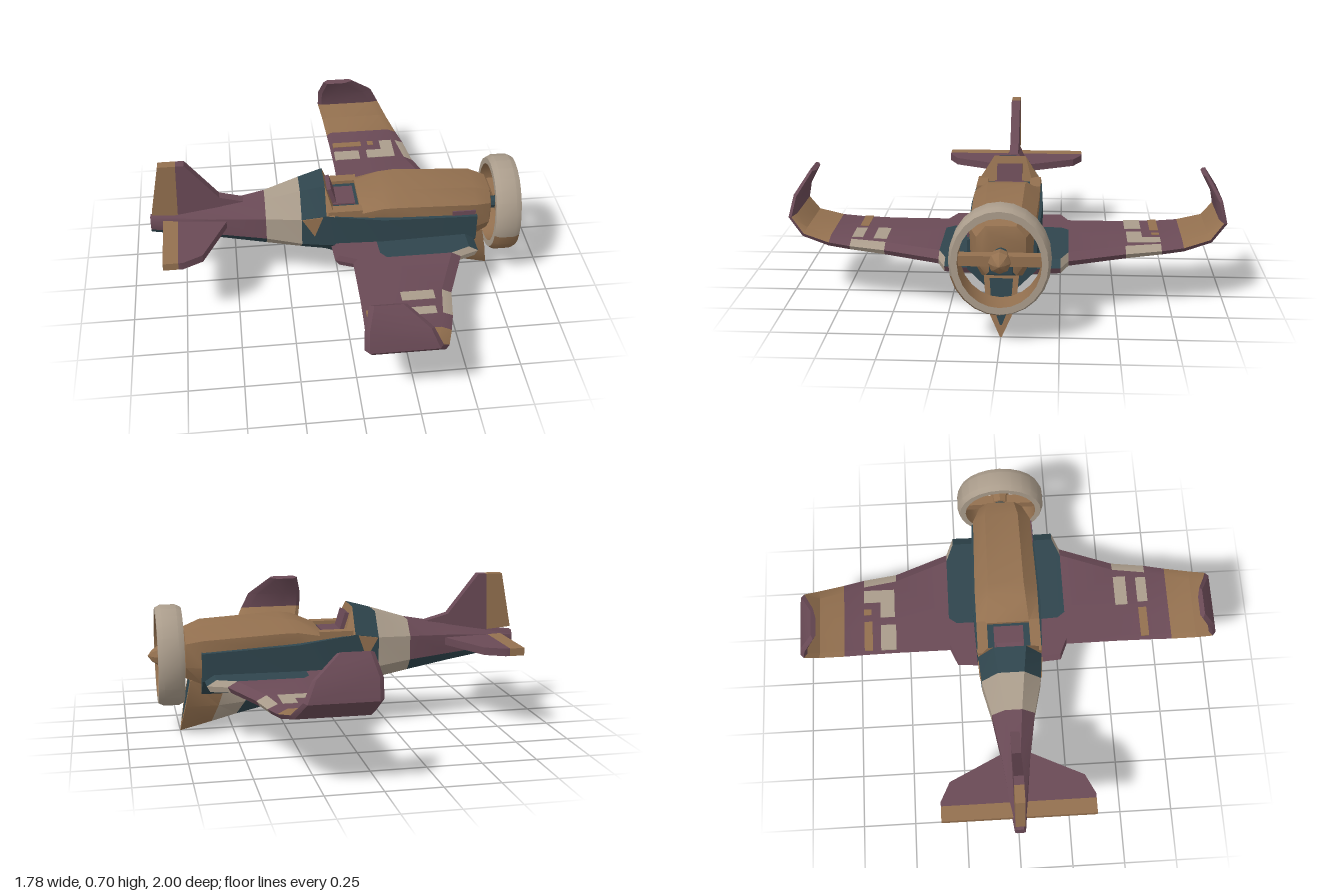
import * as THREE from 'three';
import { toCreasedNormals } from 'three/addons/utils/BufferGeometryUtils.js';

const paint = (name, color) => {
  const m = new THREE.MeshStandardMaterial({ color });
  m.name = name;
  return m;
};

export function createModel() {
  const model = new THREE.Group();
  model.name = 'aircraft';
  const mats = [paint('plum', 0x6a4a56), paint('tan', 0x93704f), paint('slate', 0x2f454d), paint('sand', 0xaa9c8b)];
  const PLUM = 0, TAN = 1, SLATE = 2, SAND = 3;

  const add = (name, geo, colour) => {
    if (colour !== undefined) geo.clearGroups();
    const mesh = new THREE.Mesh(toCreasedNormals(geo, 0.5), colour === undefined ? mats : mats[colour]);
    mesh.name = name;
    model.add(mesh);
    return mesh;
  };

  // Skin over closed cross-sections; colour(segment, face) picks the paint, segment -1 and n-1 are end caps
  const loft = (name, rings, colour) => {
    const faces = [[], [], [], []], n = rings[0].length, last = rings.length - 1;
    for (let i = 0; i < last; i++) for (let j = 0; j < n; j++) {
      const k = (j + 1) % n, a = rings[i][j], b = rings[i][k], c = rings[i + 1][k], d = rings[i + 1][j];
      faces[colour(i, j)].push([a, b, c], [a, c, d]);
    }
    for (let j = 1; j < n - 1; j++) {
      faces[colour(-1, j)].push([rings[0][0], rings[0][j + 1], rings[0][j]]);
      faces[colour(last, j)].push([rings[last][0], rings[last][j], rings[last][j + 1]]);
    }
    // Signed volume tells whether the corners need reversing
    let volume = 0;
    faces.flat().forEach(([a, b, c]) => {
      volume += new THREE.Vector3(...a).dot(new THREE.Vector3(...b).cross(new THREE.Vector3(...c)));
    });
    const pos = [], geo = new THREE.BufferGeometry();
    faces.forEach((list, m) => {
      if (list.length) geo.addGroup(pos.length / 3, list.length * 3, m);
      list.forEach(t => (volume < 0 ? [t[0], t[2], t[1]] : t).forEach(p => pos.push(...p)));
    });
    geo.setAttribute('position', new THREE.Float32BufferAttribute(pos, 3));
    return add(name, geo);
  };

  const box = (name, x0, x1, y0, y1, z0, z1, colour) => {
    const mesh = add(name, new THREE.BoxGeometry(x1 - x0, y1 - y0, z1 - z0), colour);
    mesh.position.set((x0 + x1) / 2, (y0 + y1) / 2, (z0 + z1) / 2);
    return mesh;
  };
  const plate = (name, points, depth, colour) => {
    const shape = new THREE.Shape(points.map(p => new THREE.Vector2(...p)));
    return add(name, new THREE.ExtrudeGeometry(shape, { depth, bevelEnabled: false }).translate(0, 0, -depth / 2), colour);
  };

  // Eight-sided body section: x, top, top half-width, shoulder y, half-width, waist y, bottom, bottom half-width
  const bodyRing = ([x, top, tw, sh, w, mid, bot, bw]) => [
    [x, top, tw], [x, sh, w], [x, mid, w], [x, bot, bw],
    [x, bot, -bw], [x, mid, -w], [x, sh, -w], [x, top, -tw]];

  // Fuselage with painted bands
  loft('fuselage', [
    [-0.89, 0.42, 0.015, 0.40, 0.025, 0.36, 0.34, 0.015],
    [-0.56, 0.465, 0.02, 0.42, 0.065, 0.33, 0.288, 0.03],
    [-0.35, 0.50, 0.04, 0.43, 0.10, 0.315, 0.255, 0.05],
    [-0.185, 0.55, 0.06, 0.44, 0.14, 0.30, 0.225, 0.06],
    [-0.07, 0.58, 0.075, 0.46, 0.15, 0.29, 0.21, 0.07],
    [-0.03, 0.46, 0.11, 0.455, 0.155, 0.29, 0.20, 0.08],
    [0.20, 0.445, 0.11, 0.425, 0.165, 0.29, 0.19, 0.08],
    [0.65, 0.42, 0.10, 0.40, 0.15, 0.27, 0.19, 0.07],
  ].map(bodyRing), (i, j) => {
    if (i < 2) return i >= 0 && j >= 2 && j <= 4 ? SLATE : PLUM;
    if (i === 2) return SAND;
    return i === 4 && (j === 7 || j === 0 || j === 6) ? TAN : SLATE;
  });

  // Engine hood and blunt nose, with a dark intake below
  loft('engineHood', [
    [0.09, 0.48, 0.10, 0.46, 0.15, 0.40, 0.32, 0.10],
    [0.20, 0.53, 0.09, 0.48, 0.15, 0.40, 0.30, 0.10],
    [0.27, 0.54, 0.085, 0.48, 0.15, 0.40, 0.28, 0.10],
    [0.64, 0.52, 0.08, 0.46, 0.14, 0.33, 0.24, 0.09],
    [0.72, 0.49, 0.065, 0.44, 0.105, 0.33, 0.27, 0.065],
    [0.73, 0.46, 0.05, 0.42, 0.08, 0.34, 0.29, 0.05],
  ].map(bodyRing), (i, j) => (i >= 3 && i < 5 && j === 3 ? SLATE : TAN));
  box('noseIntake', 0.726, 0.734, 0.28, 0.33, -0.05, 0.05, SLATE);
  box('hoodSeam', 0.53, 0.64, 0.412, 0.435, 0.142, 0.149, PLUM);

  // Cockpit rim, floor and seat
  for (const s of [-1, 1]) {
    box('cockpitRim', -0.06, 0.10, 0.44, 0.48, s * 0.125 - 0.025, s * 0.125 + 0.025, TAN);
    const wedge = plate('sidePatch', [[-0.182, 0.44], [-0.125, 0.345], [-0.085, 0.455], [-0.12, 0.45]], 0.008, TAN);
    wedge.geometry.translate(0.13, 0, 0);
    wedge.rotation.y = -s * 0.09;
    wedge.position.set(-0.13, 0, s * 0.1445);
  }
  box('cockpitFloor', -0.04, 0.09, 0.44, 0.463, -0.10, 0.10, SLATE);
  box('seatCushion', -0.03, 0.075, 0.455, 0.47, -0.07, 0.07, PLUM);
  const seat = box('seatBack', -0.045, -0.025, 0.46, 0.55, -0.06, 0.06, PLUM);
  seat.rotation.z = 0.3;

  // Ventral keel, V-shaped in section, with a dark opening in its front
  loft('keel', [
    [0.08, 0.21, 0.02, 0.185, 0.08], [0.14, 0.21, 0.05, 0.145, 0.14], [0.41, 0.21, 0.065, 0.068, 0.48],
    [0.54, 0.22, 0.07, 0.037, 0.60], [0.70, 0.26, 0.075, 0, 0.75], [0.702, 0.25, 0.05, 0.05, 0.741],
  ].map(([xt, top, w, bot, xb]) => {
    const xm = (xt + xb) / 2, ym = (top + bot) / 2;
    return [[xt, top, w], [xm, ym, w * 0.85], [xb, bot, 0.004], [xb, bot, -0.004], [xm, ym, -w * 0.85], [xt, top, -w]];
  }), i => (i < 2 || i === 5 ? SLATE : i === 2 ? SAND : TAN));

  // Wings: span z, height y, trailing x, leading x, half thickness; the tips curl up and inward
  const stations = [
    [0.08, 0.27, -0.05, 0.64, 0.03], [0.25, 0.275, -0.04, 0.64, 0.027], [0.285, 0.275, 0.04, 0.55, 0.026],
    [0.54, 0.277, 0.04, 0.455, 0.024], [0.70, 0.285, 0.035, 0.43, 0.02], [0.80, 0.292, 0.03, 0.405, 0.02],
    [0.92, 0.32, 0.02, 0.37, 0.018], [0.982, 0.385, 0, 0.33, 0.018], [0.965, 0.47, 0, 0.29, 0.015],
    [0.91, 0.562, 0.025, 0.18, 0.012]];
  // Faces 0 to 2 are the top, 3 and 4 the leading edge
  const wingPaint = (i, j) => {
    if ((i === 0 || i === 1) && (j === 2 || (i === 0 && j === 3))) return SLATE;
    if ((i === 1 || i === 3) && (j === 3 || j === 4)) return SAND;
    return (i === 5 || i === 6) && j < 4 ? TAN : PLUM;
  };
  for (const s of [-1, 1]) {
    const rings = stations.map(([z, y, x0, x1, t], i) => {
      const a = stations[Math.max(i - 1, 0)], b = stations[Math.min(i + 1, stations.length - 1)];
      const len = Math.hypot(b[0] - a[0], b[1] - a[1]);
      const nz = -(b[1] - a[1]) / len * t, ny = (b[0] - a[0]) / len * t;
      const mid = x0 + (x1 - x0) * 0.31;
      return [[x0, 0], [x0 + 0.02, 1], [mid, 1], [x1 - 0.045, 1], [x1, 0], [x1 - 0.015, -1], [x0 + 0.02, -1]]
        .map(([x, k]) => [x, y + ny * k, s * (z + nz * k)]);
    });
    loft(s > 0 ? 'leftWing' : 'rightWing', rings, wingPaint);
  }

  // Painted wing patches: x0, x1, z0, z1, colour
  [
    [0.05, 0.20, 0.65, 0.69, TAN], [0.22, 0.37, 0.54, 0.60, SAND], [0.23, 0.36, 0.65, 0.70, SAND],
    [0.05, 0.20, -0.70, -0.66, TAN], [0.05, 0.18, -0.62, -0.545, SAND], [0.22, 0.30, -0.62, -0.55, SAND],
    [0.30, 0.365, -0.70, -0.55, SAND], [0.235, 0.265, -0.70, -0.665, TAN],
  ].forEach(([x0, x1, z0, z1, c]) => {
    const z = (z0 + z1) / 2, y = 0.299 + (Math.abs(z) - 0.54) * 0.025;
    box('wingPatch', x0, x1, y - 0.004, y + 0.004, z0, z1, c).rotation.x = -Math.sign(z) * 0.025;
  });

  // Tail fin and rudder
  plate('tailFin', [[-0.76, 0.42], [-0.45, 0.45], [-0.45, 0.485], [-0.56, 0.515], [-0.71, 0.705], [-0.75, 0.705]], 0.044, PLUM);
  plate('rudder', [[-0.88, 0.44], [-0.76, 0.43], [-0.75, 0.705], [-0.83, 0.705]], 0.044, TAN);

  // Tailplane and elevators
  const tailplane = plate('tailplane', [[-0.76, -0.355], [-0.74, -0.355], [-0.65, -0.31], [-0.52, -0.04],
    [-0.52, 0.04], [-0.65, 0.31], [-0.74, 0.355], [-0.76, 0.355]], 0.036, PLUM);
  tailplane.rotation.x = Math.PI / 2;
  tailplane.position.y = 0.39;
  for (const s of [-1, 1]) box('elevator', -0.83, -0.76, 0.372, 0.408, s > 0 ? 0.02 : -0.355, s > 0 ? 0.355 : -0.02, TAN);

  // Turned parts around the propeller axis; width flattens them sideways
  const lathe = (name, pts, sides, colour, width = 1, start = 0, sweep = Math.PI * 2) => {
    const geo = new THREE.LatheGeometry(pts.map(p => new THREE.Vector2(...p)), sides, start, sweep);
    geo.rotateZ(-Math.PI / 2).scale(1, 1, width);
    const mesh = add(name, geo, colour);
    mesh.position.set(0.79, 0.37, 0);
    return mesh;
  };

  // Propeller ring with its lining and a painted lower quarter
  lathe('propellerRing', [[0.195, -0.06], [0.225, -0.06], [0.238, -0.035], [0.238, 0.035], [0.225, 0.06], [0.195, 0.06]], 24, SAND, 0.9);
  lathe('ringLining', [[0.195, 0.06], [0.195, -0.06]], 24, TAN, 0.9);
  lathe('ringPatch', [[0.227, -0.06], [0.24, -0.035], [0.24, 0.035], [0.227, 0.06]], 5, TAN, 0.9, Math.PI / 12, Math.PI * 5 / 12);

  // Shaft, spinner and blades
  lathe('shaft', [[0, -0.08], [0.03, -0.08], [0.03, 0.02], [0, 0.02]], 8, SLATE);
  lathe('spinner', [[0, -0.02], [0.04, -0.015], [0.048, 0.05], [0.028, 0.08], [0, 0.1]], 8, TAN);
  box('blades', 0.765, 0.815, 0.345, 0.39, -0.18, 0.18, TAN);

  return model;
}
